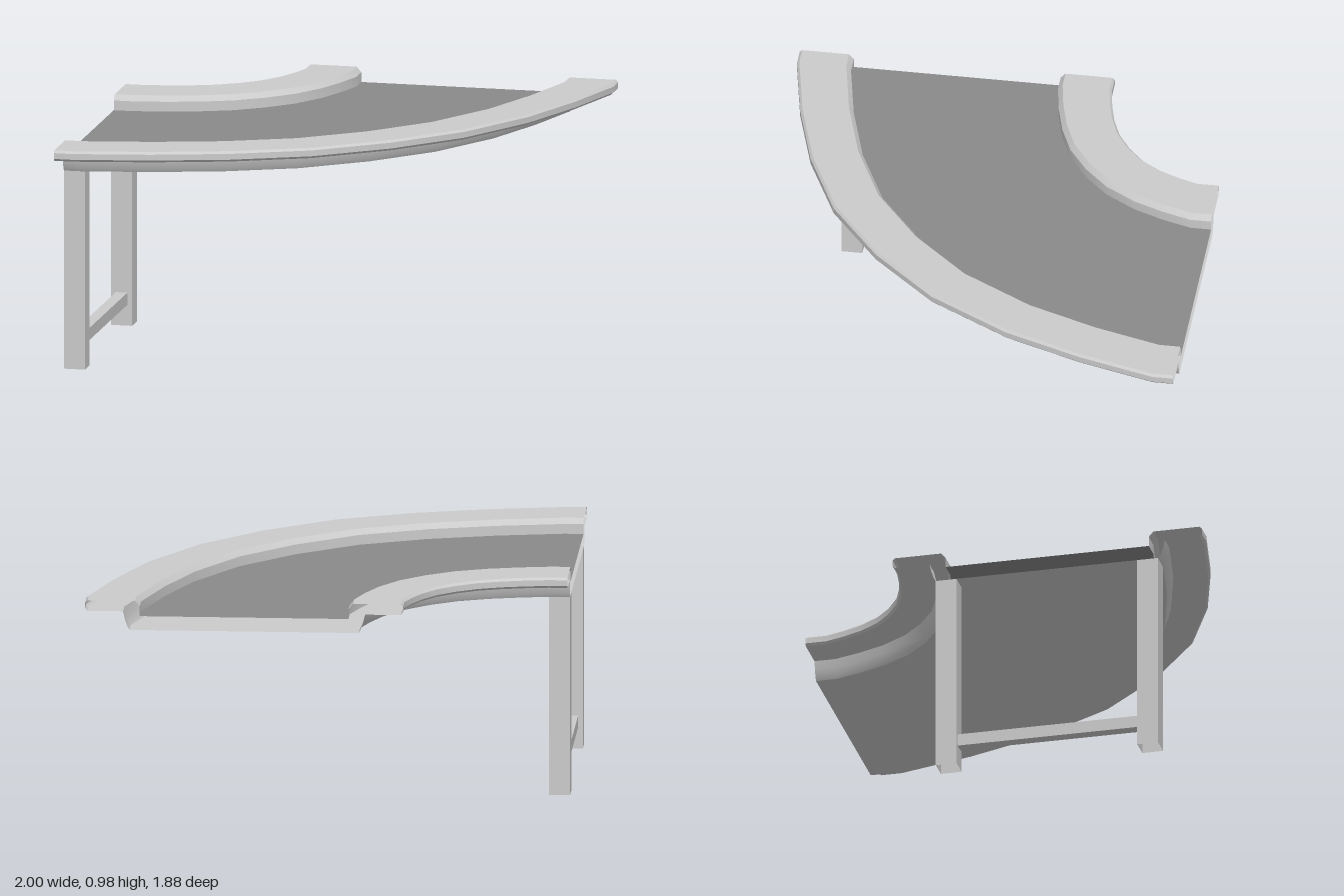
import * as THREE from 'three';
import { toCreasedNormals } from 'three/addons/utils/BufferGeometryUtils.js';

const WIDTH = 1.34; // across the whole bend, from outer lip to inner lip

// Normalised quarter bend, from the left-hand end round to the back end
const BEND = [[0, 1], [0.168, 0.966], [0.335, 0.915], [0.503, 0.834], [0.654, 0.71],
  [0.785, 0.558], [0.888, 0.366], [0.953, 0.18], [1, 0]];

// Line round the bend at a distance inward from the outer lip, with short straight ends
function bendLine(offset) {
  const rx = 1.92 - offset, rz = 1.79 - offset;
  const line = BEND.map(([u, v]) => [-0.92 + u * rx, -0.85 + v * rz]);
  return [[-1, line[0][1]], ...line, [line[line.length - 1][0], -0.94]];
}

// Sweeps a profile of [offset, height] points round the bend
function sweep(profile) {
  const positions = [], index = [];
  const n = BEND.length + 2;
  for (const [offset, y] of profile) {
    for (const [x, z] of bendLine(offset)) positions.push(x, y, z);
  }
  for (let j = 0; j < profile.length - 1; j++) {
    for (let i = 0; i < n - 1; i++) {
      const a = j * n + i, b = a + n;
      index.push(a, a + 1, b, a + 1, b + 1, b);
    }
  }
  const geometry = new THREE.BufferGeometry();
  geometry.setAttribute('position', new THREE.Float32BufferAttribute(positions, 3));
  geometry.setIndex(index);
  return toCreasedNormals(geometry, 0.5);
}

export function createModel() {
  const group = new THREE.Group();
  const grey = new THREE.MeshStandardMaterial({ color: 0xcccccc, side: THREE.DoubleSide });
  const flatGrey = new THREE.MeshStandardMaterial({ color: 0xcccccc, side: THREE.DoubleSide, flatShading: true });
  const dark = new THREE.MeshStandardMaterial({ color: 0x8a8a8a, side: THREE.DoubleSide });

  const add = (name, geometry, material, x = 0, y = 0, z = 0) => {
    const mesh = new THREE.Mesh(geometry, material);
    mesh.name = name;
    mesh.position.set(x, y, z);
    group.add(mesh);
    return mesh;
  };

  // Hollow frame: a guard rail with lip and cove on each side, joined by the bottom
  const side = [[0.23, 0.915], [0.23, 0.957], [0.21, 0.98], [0.01, 0.98], [0, 0.97], [0, 0.945],
    [0.01, 0.935], [0.16, 0.935], [0.168, 0.9], [0.178, 0.87], [0.187, 0.855]];
  const innerSide = side.map(([o, y]) => [WIDTH - o, y]);
  add('curvedFrame', sweep([...innerSide, ...side.slice().reverse()]), grey);

  // Belt surface between the rails
  add('belt', sweep([[0.23, 0.915], [WIDTH - 0.23, 0.915]]), dark);

  // Square hollow legs at one end
  const legSize = 0.09, legHeight = 0.855;
  const radius = legSize / Math.SQRT2;
  const legGeometry = new THREE.CylinderGeometry(radius, radius, legHeight, 4, 1, true).rotateY(Math.PI / 4);
  for (const [name, z] of [['frontLeg', 0.705], ['backLeg', -0.168]]) {
    add(name, legGeometry, flatGrey, -0.955, legHeight / 2, z);
  }

  // Cross bar between the legs
  add('crossBar', new THREE.BoxGeometry(0.05, 0.052, 0.785), flatGrey, -0.955, 0.116, 0.268);

  return group;
}
